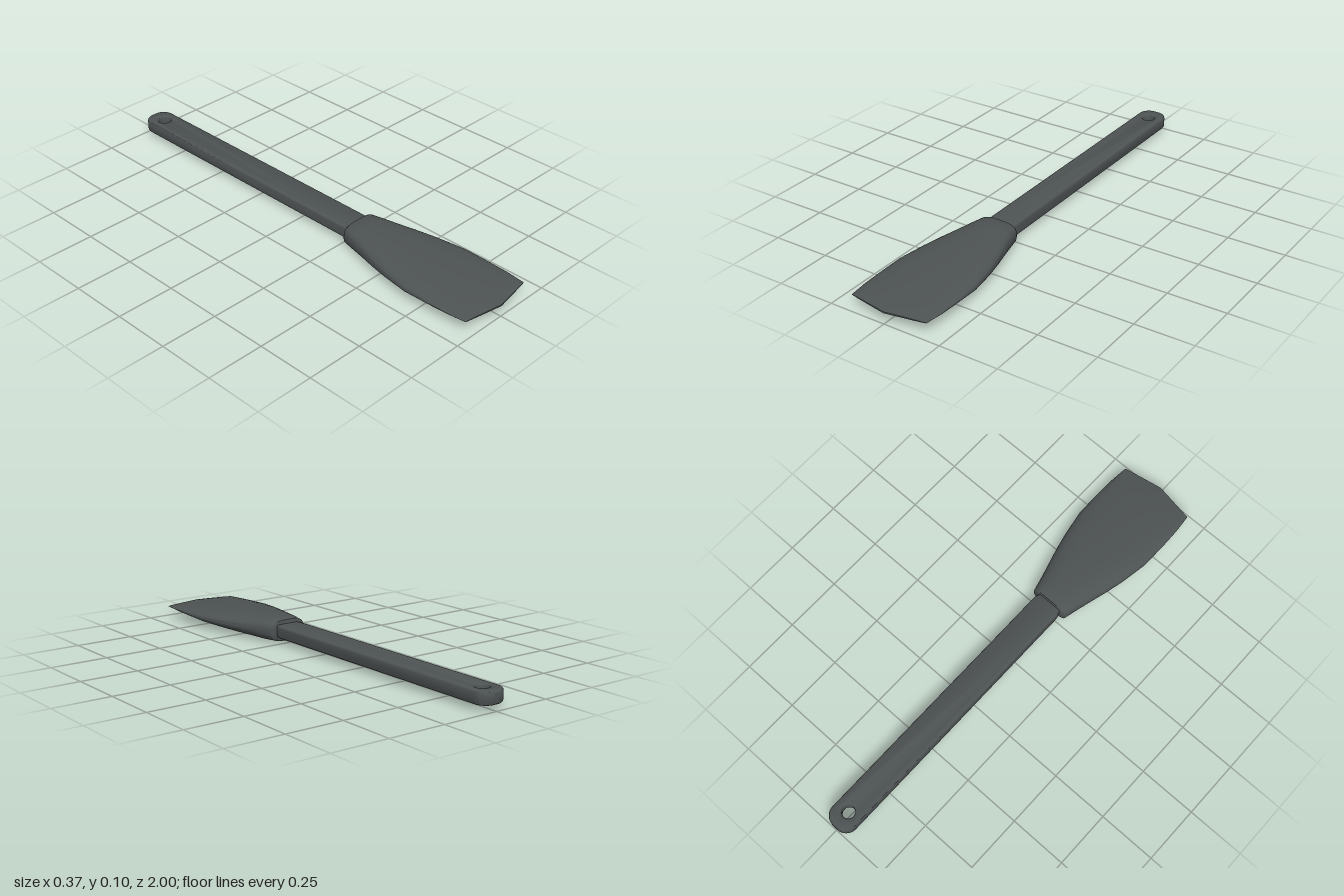
import * as THREE from 'three';
import { toCreasedNormals } from 'three/addons/utils/BufferGeometryUtils.js';

const rubber = new THREE.MeshStandardMaterial({ color: 0x4d5252 });
rubber.name = 'charcoal';

// Flat bar with a rounded end, a hanging hole and softened edges
function makeHandle() {
  const w = 0.062, r = 0.052, bevel = 0.01, thickness = 0.055;
  const shape = new THREE.Shape();
  shape.moveTo(-0.053, 0.285);
  shape.lineTo(-w, 0.25);
  shape.lineTo(-w, -1 + r);
  shape.absarc(-w + r, -1 + r, r, Math.PI, Math.PI * 1.5, false);
  shape.absarc(w - r, -1 + r, r, Math.PI * 1.5, Math.PI * 2, false);
  shape.lineTo(w, 0.25);
  shape.lineTo(0.053, 0.285);
  shape.closePath();
  const hole = new THREE.Path();
  hole.absarc(0, -0.922, 0.027, 0, Math.PI * 2, true);
  shape.holes.push(hole);
  const geo = new THREE.ExtrudeGeometry(shape, {
    depth: thickness - 2 * bevel, curveSegments: 16,
    bevelEnabled: true, bevelThickness: bevel, bevelSize: bevel, bevelOffset: -bevel, bevelSegments: 4,
  });
  geo.rotateX(Math.PI / 2);
  geo.translate(0, 0.08 - bevel, 0);
  return toCreasedNormals(geo, 0.6);
}

// Lofted head: [z, half width, half height, exponent, sweep back of the corners]
const SECTIONS = [
  [0.273, 0, 0, 3, 0],
  [0.273, 0.081, 0.04, 3, 0],
  [0.275, 0.085, 0.045, 3, 0],
  [0.28, 0.087, 0.047, 3, 0],
  [0.34, 0.102, 0.05, 2.8, 0],
  [0.40, 0.119, 0.049, 2.6, 0],
  [0.48, 0.142, 0.046, 2.5, 0],
  [0.56, 0.161, 0.0415, 2.5, 0],
  [0.68, 0.182, 0.034, 2.4, 0],
  [0.80, 0.183, 0.0245, 2.3, 0],
  [0.90, 0.181, 0.016, 2.2, 0.013],
  [0.97, 0.176, 0.008, 2, 0.026],
  [1.0, 0.173, 0.003, 2, 0.03],
  [1.0, 0.173, 0, 2, 0.03],
];

function makeHead() {
  const n = 56, yMid = 0.0515, pos = [], idx = [];
  const power = (v, e) => Math.sign(v) * Math.pow(Math.abs(v), 2 / e);
  SECTIONS.forEach(([z, w, h, e, sweep], i) => {
    for (let j = 0; j < n; j++) {
      const t = (j / n) * Math.PI * 2;
      const u = power(Math.cos(t), e);
      pos.push(w * u, yMid + h * power(Math.sin(t), e), z - sweep * Math.abs(u));
      if (i === SECTIONS.length - 1) continue;
      const a = i * n + j, b = i * n + (j + 1) % n;
      idx.push(a, b, a + n, b, b + n, a + n);
    }
  });
  const geo = new THREE.BufferGeometry();
  geo.setAttribute('position', new THREE.Float32BufferAttribute(pos, 3));
  geo.setIndex(idx);
  return toCreasedNormals(geo, 0.8);
}

export function createModel() {
  const group = new THREE.Group();
  group.name = 'spatula';
  const add = (name, geometry) => {
    const mesh = new THREE.Mesh(geometry, rubber);
    mesh.name = name;
    group.add(mesh);
  };
  add('handle', makeHandle());
  add('bladeHead', makeHead());
  return group;
}
